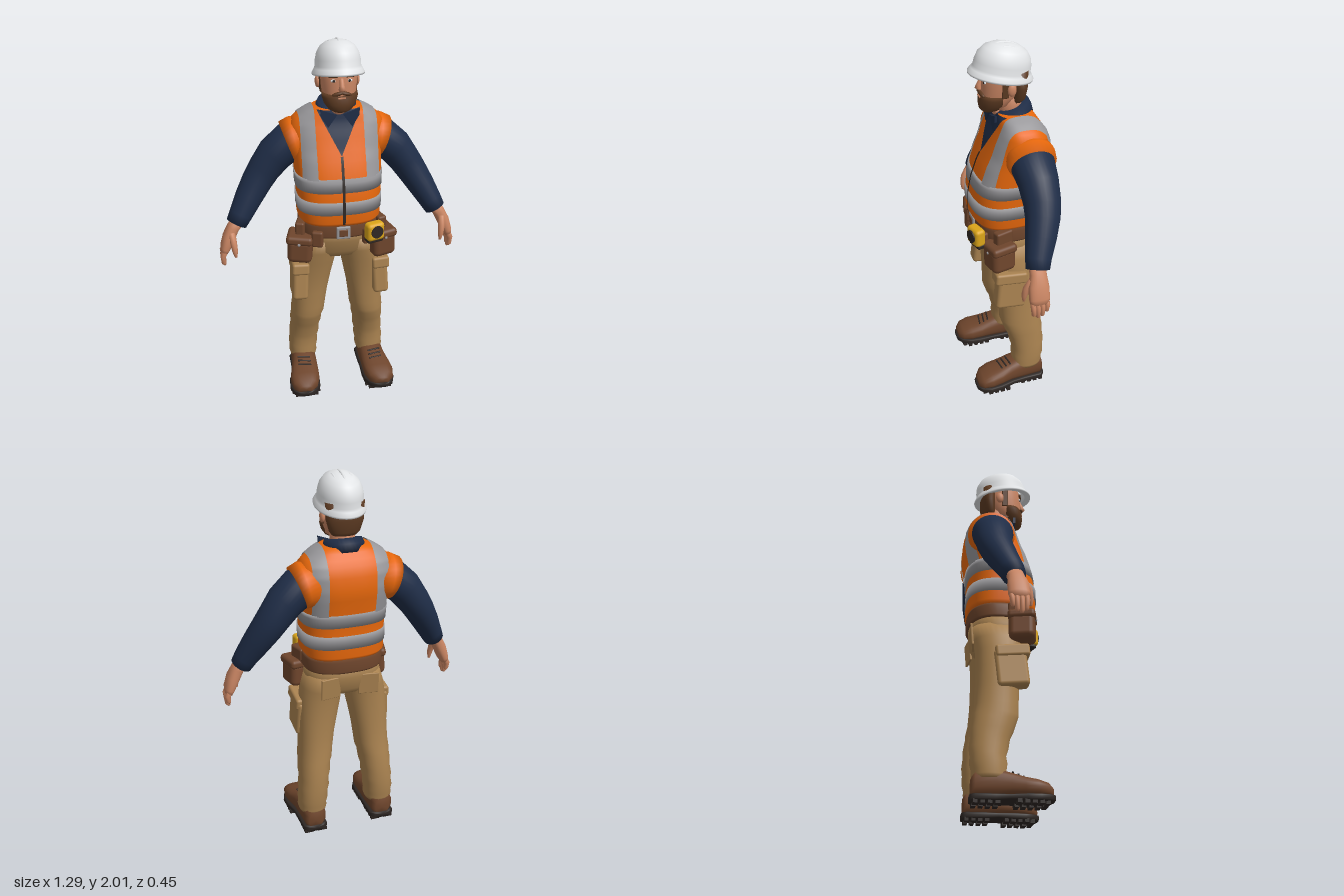
import * as THREE from 'three';
import { RoundedBoxGeometry } from 'three/addons/geometries/RoundedBoxGeometry.js';

const V = (x, y, z) => new THREE.Vector3(x, y, z);
const paint = (name, color, side = THREE.FrontSide) => {
  const m = new THREE.MeshStandardMaterial({ color, side });
  m.name = name;
  return m;
};

// Skin through superellipse sections [x, y, z, ru, rv]; axis fixes the ring direction, else it follows the path.
function loft(sections, { p = 2, n = 24, hint = V(0, 0, 1), axis = null } = {}) {
  const c = sections.map(s => V(s[0], s[1], s[2])), pos = [], idx = [], last = c.length - 1;
  sections.forEach((s, i) => {
    const t = axis ? axis.clone() : c[Math.min(i + 1, last)].clone().sub(c[Math.max(i - 1, 0)]).normalize();
    const v = hint.clone().addScaledVector(t, -hint.dot(t)).normalize(), u = v.clone().cross(t);
    for (let j = 0; j < n; j++) {
      const a = j / n * Math.PI * 2, f = q => Math.sign(q) * Math.abs(q) ** (2 / p);
      pos.push(...c[i].clone().addScaledVector(u, s[3] * f(Math.cos(a))).addScaledVector(v, s[4] * f(Math.sin(a))).toArray());
    }
  });
  pos.push(...c[0].toArray(), ...c[last].toArray());
  const e = (last + 1) * n;
  for (let j = 0; j < n; j++) {
    const k = (j + 1) % n;
    for (let i = 0; i < last; i++) {
      const a = i * n + j, b = i * n + k;
      idx.push(a, b, a + n, b, b + n, a + n);
    }
    idx.push(e, k, j, e + 1, last * n + j, last * n + k);
  }
  return build(pos, idx);
}

function build(pos, idx) {
  const g = new THREE.BufferGeometry();
  g.setAttribute('position', new THREE.Float32BufferAttribute(pos, 3));
  g.setIndex(idx);
  g.computeVertexNormals();
  return g;
}

// Thin open sheet from f(u, v)
function sheet(f, nu, nv) {
  const pos = [], idx = [];
  for (let i = 0; i <= nv; i++) for (let j = 0; j <= nu; j++) {
    pos.push(...f(j / nu, i / nv));
    if (i < nv && j < nu) {
      const a = i * (nu + 1) + j, b = a + nu + 1;
      idx.push(a, a + 1, b, a + 1, b + 1, b);
    }
  }
  return build(pos, idx);
}

// Vest profile: y, half width, front z, back z
const VEST = [[1.06, .205, .165, -.18], [1.08, .22, .18, -.195], [1.2, .222, .178, -.19], [1.3, .226, .16, -.195],
  [1.4, .232, .125, -.215], [1.45, .238, .1, -.22], [1.52, .245, .075, -.215], [1.57, .243, .055, -.195],
  [1.6, .215, .045, -.175], [1.63, .17, .04, -.155], [1.655, .12, .035, -.14]];
const VP = 2.8, UP = V(0, 1, 0), FWD = V(0, 0, 1);
const flat = ([y, rx, zf, zb]) => [0, y, (zf + zb) / 2, rx, (zf - zb) / 2];
function vestAt(y) {
  let i = 0;
  while (i < VEST.length - 2 && VEST[i + 1][0] < y) i++;
  const t = (y - VEST[i][0]) / (VEST[i + 1][0] - VEST[i][0]);
  return flat(VEST[i].map((a, k) => a + (VEST[i + 1][k] - a) * t));
}
function vestTop(x) {
  let i = 7;
  while (i < 9 && VEST[i + 1][1] > x) i++;
  const [a, b] = [VEST[i], VEST[i + 1]];
  return a[0] + (b[0] - a[0]) * (x - a[1]) / (b[1] - a[1]);
}
function vestZ(x, y, side, lift) {
  const [, , cz, rx, rz] = vestAt(y);
  return cz + side * (rz * (1 - Math.min(1, Math.abs(x) / rx) ** VP) ** (1 / VP) + lift);
}

export function createModel() {
  const root = new THREE.Group();
  const D = THREE.DoubleSide;
  const white = paint('helmet white', 0xe2e4e6, D), skin = paint('skin', 0xc98563), hair = paint('hair brown', 0x5c3a22),
    orange = paint('vest orange', 0xe8680c), grey = paint('reflective grey', 0x98979a, D), navy = paint('shirt navy', 0x1f2d47, D),
    khaki = paint('trouser khaki', 0xa98250), leather = paint('leather brown', 0x6e452c), dark = paint('rubber dark', 0x2e2724, D),
    yellow = paint('tape yellow', 0xdba51a);
  const add = (name, geo, mat, pos = [0, 0, 0], rot = [0, 0, 0], parent = root) => {
    const m = new THREE.Mesh(geo, mat);
    m.name = name;
    m.position.set(...pos);
    m.rotation.set(...rot);
    parent.add(m);
    return m;
  };
  const box = (w, h, d, r = .012) => new RoundedBoxGeometry(w, h, d, 3, r);
  const ball = (rx, ry, rz) => new THREE.SphereGeometry(1, 20, 14).scale(rx, ry, rz);
  const stack = (rows, p = 2.2, n = 32) => loft(rows.map(flat), { p, n, axis: UP });

  // Vest with reflective bands, zip and open neck
  add('vest', loft(VEST.map(flat), { p: VP, n: 64, axis: UP }), orange);
  for (const ys of [[1.13, 1.2], [1.25, 1.3, 1.32]]) {
    const rows = ys.map(y => { const s = vestAt(y); s[3] += .005; s[4] += .005; return s; });
    add('reflectiveBand', loft(rows, { p: VP, n: 64, axis: UP }), grey);
  }
  add('shirtFront', sheet((u, v) => {
    const y = 1.43 + .222 * v, x = (u * 2 - 1) * .112 * v;
    return [x, y, vestZ(x, y, 1, .006)];
  }, 10, 16), navy);
  add('zip', sheet((u, v) => {
    const x = (u - .5) * .014, y = 1.075 + .355 * v;
    return [x, y, vestZ(x, y, 1, .009)];
  }, 2, 24), dark);

  // Belt, buckle, tape measure and seat of the trousers
  add('belt', stack([[.985, .212, .158, -.185], [.995, .217, .163, -.19], [1.05, .215, .163, -.19], [1.065, .208, .155, -.184]], 2.5, 48), leather);
  add('buckle', box(.075, .07, .016, .006), grey, [0, 1.02, .165]);
  add('buckleCentre', box(.045, .04, .012, .004), leather, [0, 1.02, .171]);
  add('tapeMeasure', box(.1, .1, .06, .02), yellow, [.16, 1.03, .19], [0, .3, 0]);
  add('tapeDial', new THREE.CylinderGeometry(.034, .034, .008, 24), dark, [.169, 1.035, .221], [Math.PI / 2, 0, -.3]);
  add('tapeClip', box(.09, .025, .05, .008), dark, [.16, .978, .182], [0, .3, 0]);
  add('hips', stack([[1.02, .2, .15, -.178], [.95, .206, .138, -.176], [.88, .212, .118, -.166], [.84, .17, .09, -.13], [.82, .06, .04, -.08]]
    .reverse(), 2.4, 40), khaki);

  // Neck and head
  add('neck', loft([[0, 1.6, -.06, .068, .068], [0, 1.68, -.035, .064, .066], [0, 1.76, -.02, .066, .07]]), skin);
  add('collar', loft([[0, 1.61, -.062, .115, .1], [0, 1.65, -.052, .107, .1], [0, 1.676, -.045, .096, .094]], { n: 32 }), navy);
  add('throat', ball(.04, .03, .02), skin, [0, 1.655, .035]);
  add('head', stack([[1.665, .045, .1, .02], [1.69, .07, .11, -.03], [1.74, .086, .112, -.075], [1.8, .094, .11, -.1], [1.86, .097, .108, -.112], [1.91, .09, .09, -.1]]), skin);
  add('beard', stack([[1.658, .035, .102, .04], [1.672, .06, .117, .01], [1.7, .081, .121, -.015], [1.735, .091, .119, -.02], [1.752, .091, .108, -.02]]), hair);
  add('hairBack', stack([[1.7, .062, -.03, -.1], [1.72, .08, -.03, -.114], [1.78, .098, -.03, -.122], [1.87, .102, -.02, -.125]]), hair);
  add('nose', loft([[0, 1.835, .105, .01, .008], [0, 1.8, .117, .013, .014], [0, 1.782, .122, .019, .016], [0, 1.772, .113, .014, .01]], { axis: V(0, -1, 0), n: 12 }), skin);
  add('mouth', box(.04, .008, .006, .002), skin, [0, 1.737, .118]);

  // Helmet with brim and ribs, tipped back
  const helmet = new THREE.Group();
  helmet.name = 'helmet';
  helmet.position.set(0, 1.852, .005);
  helmet.rotation.x = -.19;
  root.add(helmet);
  const shell = [[.8, -.014], [1, -.022], [1.01, -.012], [.93, .008], [.88, .02], [.87, .05], [.81, .085], [.66, .118], [.44, .138], [.2, .147], [0, .149]];
  add('shell', new THREE.LatheGeometry(shell.map(q => new THREE.Vector2(...q)), 48).scale(.13, 1, .166), white, [0, 0, 0], [0, 0, 0], helmet);
  for (const x of [-.042, 0, .042]) {
    const pts = [];
    for (let i = 0; i <= 12; i++) {
      const a = Math.PI * (.1 + .8 * i / 12), k = Math.sqrt(1 - (x / .113) ** 2);
      pts.push(V(x, .147 * k * Math.sin(a), .141 * k * Math.cos(a)));
    }
    add('rib', new THREE.TubeGeometry(new THREE.CatmullRomCurve3(pts), 32, .008, 8), white, [0, 0, 0], [0, 0, 0], helmet);
  }

  for (const s of [1, -1]) {
    const side = s > 0 ? 'left' : 'right';
    const limb = (name, rows, mat, opt) => add(side + name, loft(rows.map(r => [r[0] * s, ...r.slice(1)]), opt), mat);
    const part = (name, geo, mat, [x, y, z], [a, b, c] = [0, 0, 0]) => add(side + name, geo, mat, [x * s, y, z], [a, b * s, c * s]);

    // Face details
    part('Ear', ball(.014, .032, .022), skin, [.1, 1.79, -.02]);
    part('Sideburn', box(.012, .12, .034, .005), hair, [.09, 1.805, .01], [0, 0, -.06]);
    part('Moustache', ball(.03, .01, .012), hair, [.021, 1.758, .111], [0, .15, -.25]);
    part('Brow', box(.046, .012, .012, .005), hair, [.042, 1.845, .104], [0, .25, -.05]);
    part('Eye', ball(.015, .008, .006), white, [.039, 1.822, .1]);
    part('Iris', ball(.007, .007, .004), dark, [.039, 1.822, .104]);

    // Shoulder strap running front to back, armhole and collar point
    add(side + 'ShoulderStrap', sheet((u, v) => {
      const x = .125 + .075 * u, a = Math.PI * v, y0 = 1.315, y = y0 + (vestTop(x) - y0) * Math.sin(a);
      return [s * x, y + .007 * Math.sin(a), vestZ(x, Math.min(y, 1.6549), v < .5 ? 1 : -1, .007 * Math.abs(Math.cos(a)))];
    }, 6, 64), grey);
    limb('Armhole', [[.15, 1.475, -.082, .115, .12], [.22, 1.465, -.082, .121, .127], [.255, 1.452, -.082, .114, .12]], orange, { n: 32 });
    const tip = new THREE.Shape([[.015, 1.635], [.1, 1.665], [.098, 1.63], [.062, 1.57]].map(q => new THREE.Vector2(q[0] * s, q[1])));
    add(side + 'CollarPoint', new THREE.ExtrudeGeometry(tip, { depth: .012, bevelEnabled: false }), navy, [0, 0, .056]);

    // Sleeve and hand
    limb('Sleeve', [[.17, 1.47, -.08, .1, .11], [.25, 1.45, -.08, .103, .112], [.32, 1.39, -.085, .096, .102], [.38, 1.31, -.085, .086, .094],
      [.42, 1.25, -.075, .081, .088], [.47, 1.17, -.05, .073, .078], [.52, 1.085, -.02, .062, .066], [.545, 1.04, -.01, .056, .06]], navy, { n: 28 });
    limb('Palm', [[.535, 1.06, -.01, .036, .042], [.565, 1.02, -.005, .033, .042], [.59, .97, 0, .034, .052], [.613, .91, .002, .028, .053], [.62, .885, .002, .02, .048]], skin, { p: 2.4 });
    [.038, .014, -.01, -.034].forEach((z, i) => {
      const d = [.082, .095, .088, .065][i];
      limb('Finger', [[.61, .91, z, .016, .014], [.629, .91 - d * .5, z, .015, .0135], [.626, .91 - d, z * .9, .013, .012], [.62, .9 - d, z * .9, .006, .006]], skin, { n: 12 });
    });
    limb('Thumb', [[.575, 1, .03, .018, .018], [.57, .955, .056, .018, .018], [.565, .91, .066, .015, .014], [.562, .875, .066, .007, .007]], skin, { n: 12 });

    // Trouser leg with pockets
    limb('TrouserLeg', [[.105, .95, -.02, .098, .148], [.117, .87, -.024, .11, .136], [.128, .8, -.026, .112, .125], [.143, .7, -.036, .106, .113],
      [.155, .6, -.04, .098, .11], [.164, .5, -.046, .093, .111], [.17, .45, -.052, .093, .116], [.175, .425, -.056, .087, .112], [.18, .37, -.07, .088, .108],
      [.184, .33, -.079, .081, .098], [.188, .28, -.086, .085, .097], [.192, .24, -.09, .079, .088], [.195, .2, -.088, .083, .092],
      [.196, .165, -.086, .077, .085], [.197, .14, -.083, .08, .088], [.197, .12, -.083, .074, .082]], khaki, { n: 32, p: 2.2, axis: V(0, -1, 0) });
    part('CargoPocket', box(.085, .2, .165, .02), khaki, [.222, .685, .022], [-.1, 0, .05]);
    part('CargoFlap', box(.094, .065, .176, .014), khaki, [.221, .775, .026], [-.1, 0, .05]);
    part('BackPocket', box(.11, .12, .012, .004), khaki, [.105, .9, -.166], [-.08, .12, 0]);

    // Tool pouch
    part('Pouch', box(.132, .135, .135, .03), leather, [.217, .91, .082], [0, .25, .05]);
    part('PouchFlap', box(.142, .05, .145, .02), leather, [.217, .975, .082], [0, .25, .05]);
    part('PouchHanger', box(.05, .09, .1, .012), leather, [.21, 1.02, .06], [0, .3, 0]);
    part('SmallPouch', box(.06, .09, .035, .012), leather, [.135, .985, .145], [0, .35, 0]);
    part('PouchStud', ball(.008, .008, .005), grey, [.235, .96, .152]);

    // Boot with treaded sole
    const boot = { p: 2.5, n: 24, hint: UP, axis: FWD };
    limb('Boot', [[.2, .08, -.172, .04, .045], [.2, .095, -.155, .062, .066], [.2, .1, -.05, .07, .075], [.203, .093, .02, .073, .063],
      [.21, .083, .08, .08, .053], [.216, .076, .14, .083, .048], [.22, .068, .19, .07, .04], [.222, .06, .216, .038, .024]], leather, boot);
    limb('Sole', [[.2, .03, -.178, .046, .017], [.2, .029, -.155, .07, .018], [.2, .029, -.06, .072, .018], [.203, .031, .01, .074, .014],
      [.212, .029, .09, .087, .018], [.217, .029, .15, .087, .018], [.221, .031, .2, .066, .017], [.223, .034, .224, .036, .014]], dark, { ...boot, p: 5 });
    for (const z of [-.155, -.12, -.085, -.05, .05, .085, .12, .155, .185])
      for (const k of [-1, 1]) {
        const toe = z > 0;
        part('Lug', new THREE.BoxGeometry(toe ? .062 : .052, .02, .022), dark, [(toe ? .214 : .2) + k * (z > .18 ? .034 : toe ? .049 : .038), .01, z]);
      }
    [.03, .055, .08].forEach((z, i) => part('Lace', box(.075, .008, .009, .003), dark, [.208, .152 - i * .009, z], [.3, .15, 0]));
  }
  return root;
}
